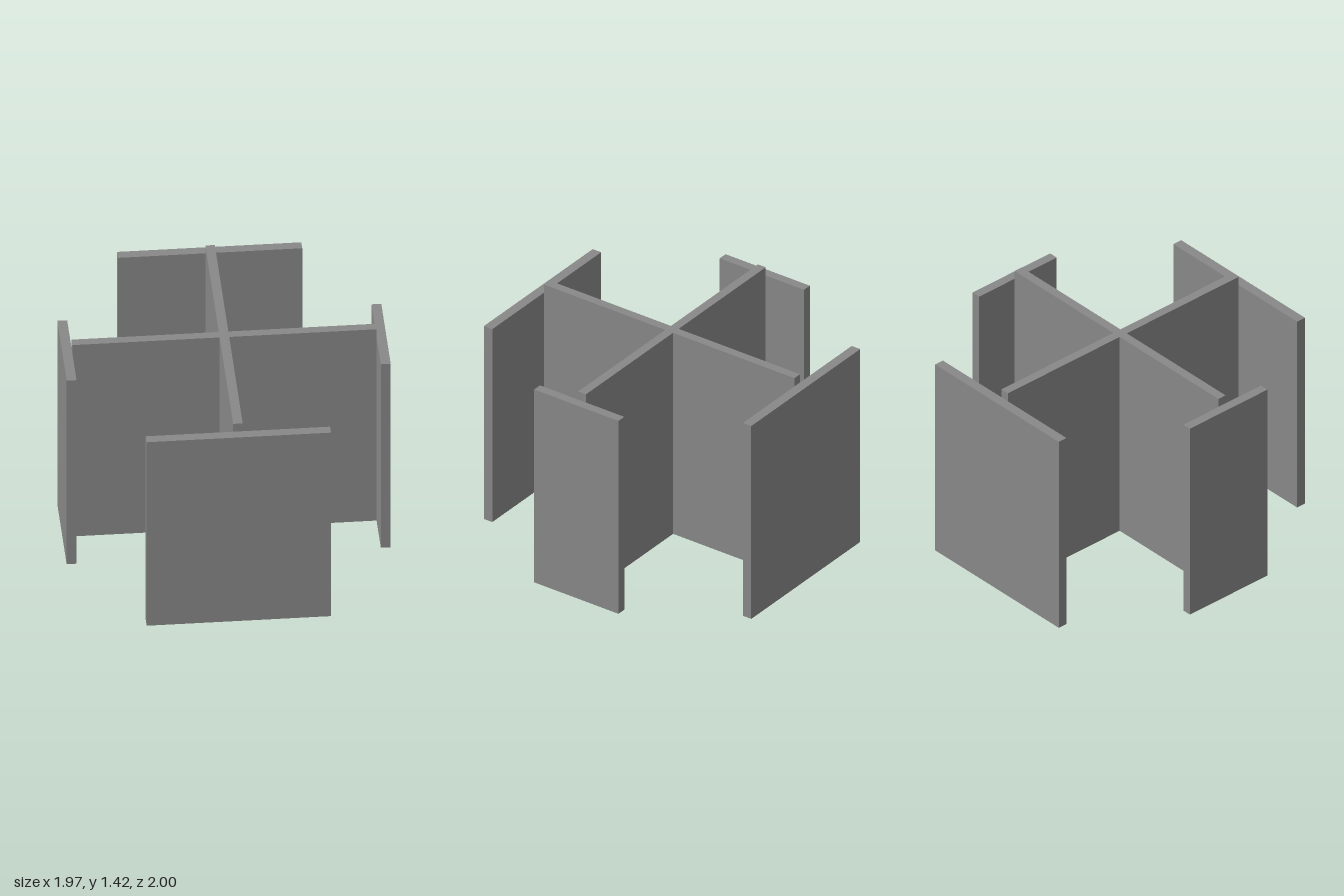
import * as THREE from 'three';

export function createModel() {
  const group = new THREE.Group();
  const material = new THREE.MeshStandardMaterial({ color: 0x888888, flatShading: true });
  const half = 0.029;      // half thickness of the webs
  const webHeight = 1.418, flangeHeight = 1.36;
  const reachX = 0.924, reachZ = 0.937;

  const add = (name, geometry, x, y, z) => {
    const mesh = new THREE.Mesh(geometry, material);
    mesh.name = name;
    mesh.position.set(x, y, z);
    group.add(mesh);
  };

  // Crossed webs: one plus-shaped outline, extruded upwards
  const outline = [
    [reachX, -half], [reachX, half], [half, half], [half, reachZ],
    [-half, reachZ], [-half, half], [-reachX, half], [-reachX, -half],
    [-half, -half], [-half, -reachZ], [half, -reachZ], [half, -half],
  ].map(([x, z]) => new THREE.Vector2(x, z));
  const cross = new THREE.ExtrudeGeometry(new THREE.Shape(outline), { depth: webHeight, bevelEnabled: false });
  cross.rotateX(-Math.PI / 2);
  add('crossedWebs', cross, 0, 0, 0);

  // Flange plates closing the four web ends, slightly lower than the webs
  const sideDepth = 0.63, endWidth = 1.12, sideThick = 0.06, endThick = 0.063;
  for (const s of [1, -1]) {
    add(s > 0 ? 'leftFlange' : 'rightFlange',
      new THREE.BoxGeometry(sideThick, flangeHeight, sideDepth),
      s * (reachX + sideThick / 2), flangeHeight / 2, 0);
    add(s > 0 ? 'frontFlange' : 'backFlange',
      new THREE.BoxGeometry(endWidth, flangeHeight, endThick),
      0, flangeHeight / 2, s * (reachZ + endThick / 2));
  }
  return group;
}
